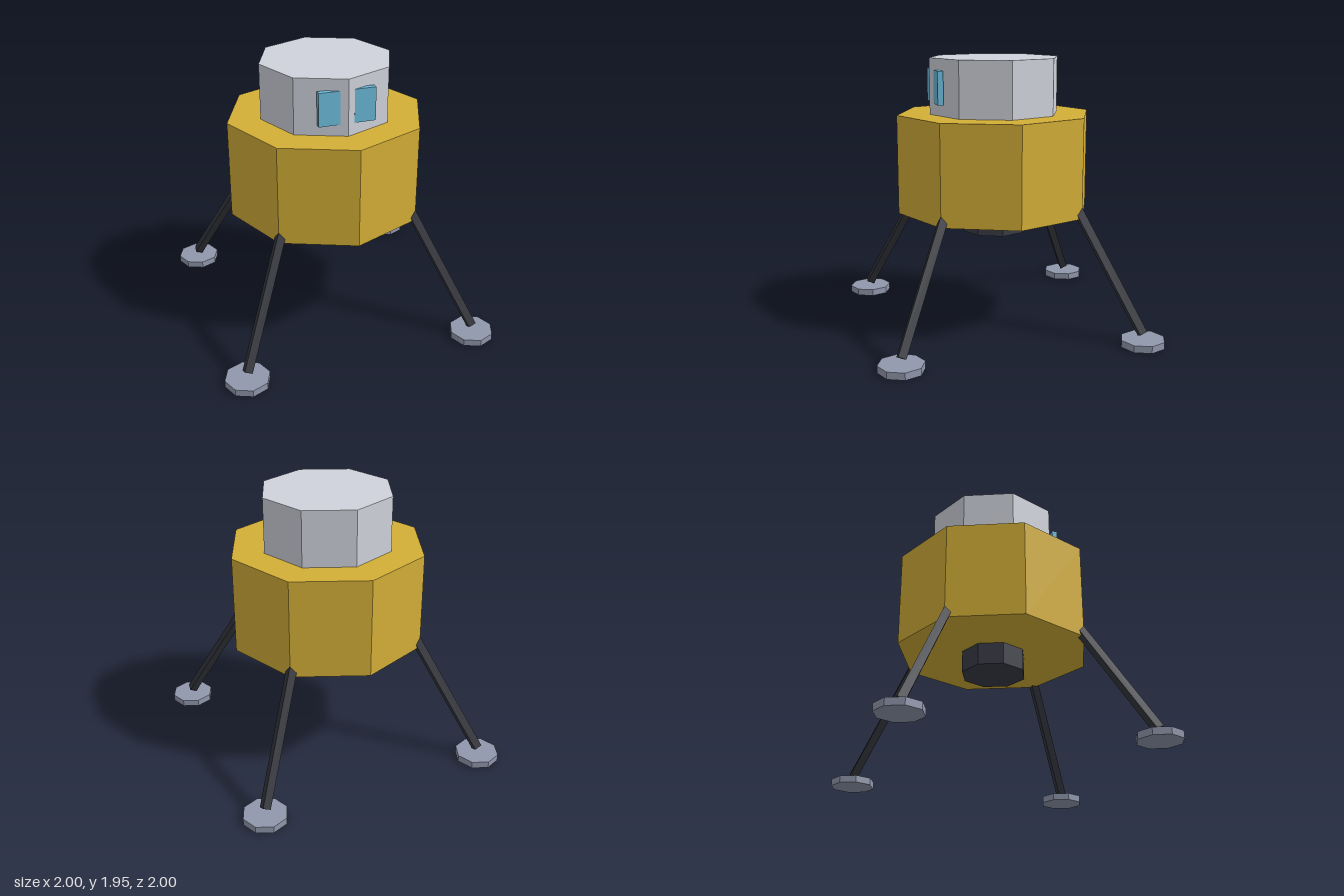
import * as THREE from 'three';

const mat = (color) => new THREE.MeshStandardMaterial({ color, flatShading: true });

export function createModel() {
  const root = new THREE.Group();
  root.name = 'lunarLander';
  const gold = mat(0xd4af37), white = mat(0xd0d3dc), glass = mat(0x6bb8d8);
  const dark = mat(0x33353c), engineDark = mat(0x3a3c46), padGrey = mat(0x9098ac);

  const add = (parent, name, geometry, material, x, y, z) => {
    const mesh = new THREE.Mesh(geometry, material);
    mesh.name = name;
    mesh.position.set(x, y, z);
    parent.add(mesh);
    return mesh;
  };
  // Upright prism with a corner facing front
  const prism = (r, y0, y1, sides = 8) => new THREE.CylinderGeometry(r, r, y1 - y0, sides);

  // Stacked octagonal hull
  add(root, 'descentStage', prism(0.713, 0.84, 1.55), gold, 0, 1.195, 0);
  add(root, 'cabin', prism(0.475, 1.55, 1.95), white, 0, 1.75, 0);
  add(root, 'engine', prism(0.237, 0.68, 0.84), engineDark, 0, 0.76, 0);

  // Front windows
  for (const [side, name] of [[1, 'leftWindow'], [-1, 'rightWindow']]) {
    add(root, name, new THREE.BoxGeometry(0.15, 0.236, 0.04), glass, side * 0.125, 1.75, 0.435);
  }

  // Four splayed struts of square section, each above a foot pad
  const top = { y: 0.9, z: 0.679 }, foot = { y: 0.083, z: 1.188 };
  const length = Math.hypot(top.y - foot.y, top.z - foot.z);
  for (let i = 0; i < 4; i++) {
    const leg = new THREE.Group();
    leg.name = 'leg' + (i + 1);
    leg.rotation.y = Math.PI / 4 + (i * Math.PI) / 2;
    const strut = add(leg, 'strut', prism(0.04, 0, length, 4), dark,
      0, (top.y + foot.y) / 2, (top.z + foot.z) / 2);
    strut.rotation.x = Math.atan2(top.z - foot.z, top.y - foot.y);
    add(leg, 'footPad', prism(0.158, 0, 0.05), padGrey, 0, 0.025, 1.19);
    root.add(leg);
  }
  return root;
}
